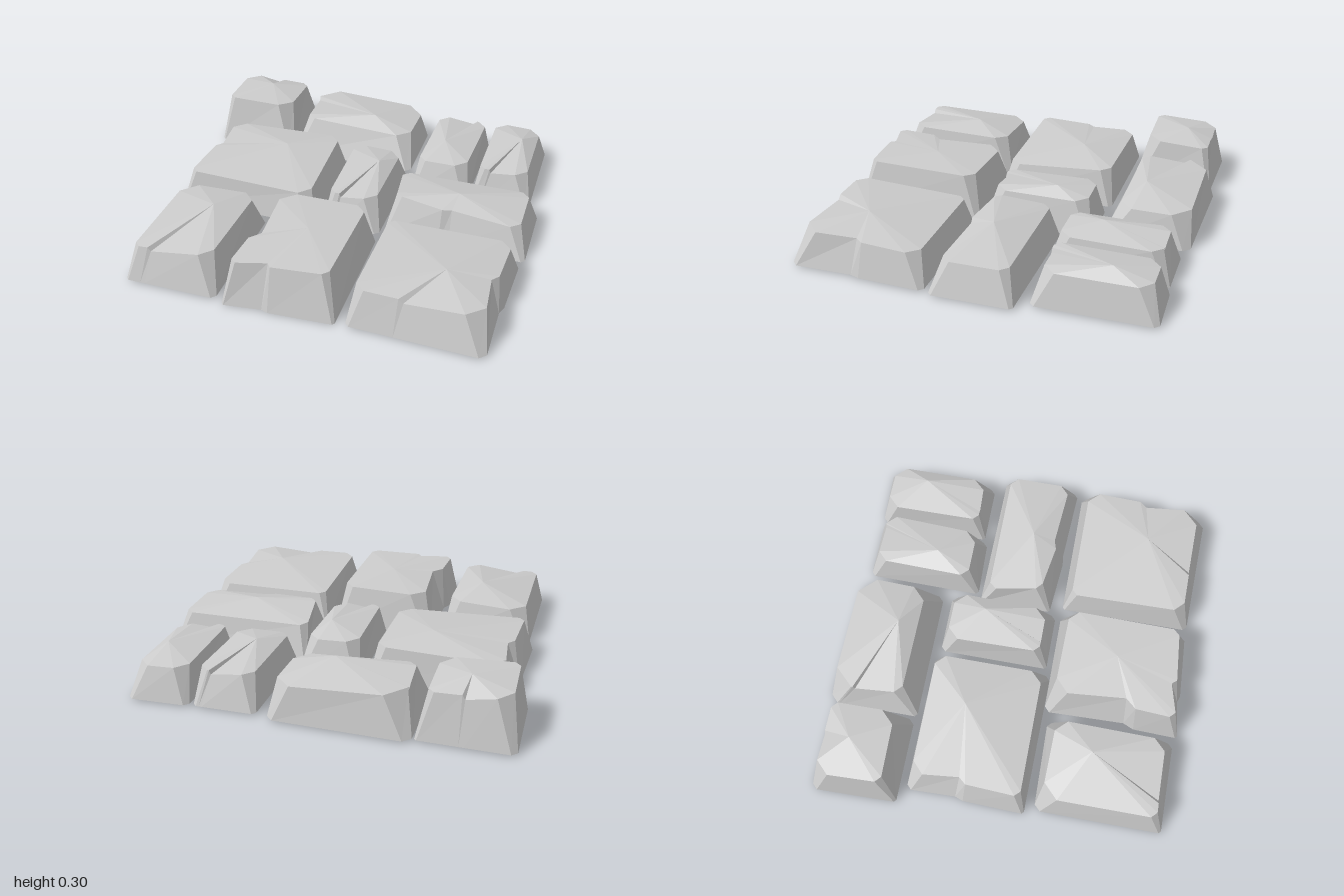
import * as THREE from 'three';

const material = new THREE.MeshStandardMaterial({ color: 0xcccccc, flatShading: true });

// Corner order everywhere: back left-hand, front left-hand, front right-hand, back right-hand (as seen from above).
// Cut every corner of a quad, giving an outline of 8 points, two per corner.
function chamfer(corners, cuts) {
  const out = [];
  corners.forEach((c, i) => {
    for (const other of [corners[(i + 3) % 4], corners[(i + 1) % 4]]) {
      const flat = Math.hypot(other.x - c.x, other.z - c.z);
      out.push(c.clone().lerp(other, cuts[i] / flat));
    }
  });
  return out;
}

// One stone: base quad [x, z], top quad [x, z, y], corner cuts, crown [x, z, y],
// chips [edge, position along it, depth] and a crack [edge, position along it].
function stone(name, { base, top, cuts, crown, chips = [], crack, floor = 0.01 }) {
  const peak = new THREE.Vector3(crown[0], crown[2], crown[1]);
  const lower = chamfer(base.map(([x, z]) => new THREE.Vector3(x, floor, z)), cuts.map(c => c * 0.4));
  const upper = chamfer(top.map(([x, z, y]) => new THREE.Vector3(x, y, z)), cuts);
  const extra = [];
  const inward = (p, d) => {
    const dir = new THREE.Vector3(peak.x - p.x, 0, peak.z - p.z).normalize();
    return p.addScaledVector(dir, d);
  };
  const along = (ring, edge, t) => ring[edge * 2 + 1].clone().lerp(ring[(edge * 2 + 2) % 8], t);

  for (const [edge, t, depth] of chips) {
    extra.push({ edge, t, lo: inward(along(lower, edge, t), depth * 0.5), hi: inward(along(upper, edge, t), depth) });
    extra.push({ edge, t: t + 0.07, lo: along(lower, edge, t + 0.07), hi: along(upper, edge, t + 0.07) });
  }
  // A crack is a narrow step in the rim that closes at the crown
  if (crack) {
    const [edge, t] = crack;
    [[t, 0], [t + 0.05, 0.022]].forEach(([s, drop]) => {
      const hi = along(upper, edge, s);
      hi.y -= drop;
      extra.push({ edge, t: s, lo: along(lower, edge, s), hi });
    });
  }

  const ring = [];
  for (let i = 0; i < 8; i++) {
    ring.push({ lo: lower[i], hi: upper[i] });
    if (i % 2) ring.push(...extra.filter(e => e.edge === (i - 1) / 2).sort((a, b) => a.t - b.t));
  }

  const bottom = new THREE.Vector3(peak.x, floor, peak.z);
  const tris = [];
  ring.forEach((a, i) => {
    const b = ring[(i + 1) % ring.length];
    tris.push(a.lo, b.lo, b.hi, a.lo, b.hi, a.hi); // side
    tris.push(a.hi, b.hi, peak);                   // worn top
    tris.push(b.lo, a.lo, bottom);                 // underside
  });
  const geometry = new THREE.BufferGeometry().setFromPoints(tris);
  geometry.computeVertexNormals();
  const mesh = new THREE.Mesh(geometry, material);
  mesh.name = name;
  return mesh;
}

export function createModel() {
  const group = new THREE.Group();
  group.name = 'pavingStones';
  group.add(
    // Back row
    stone('tallCornerStone', {
      base: [[-1, -0.94], [-0.99, -0.48], [-0.53, -0.48], [-0.52, -0.93]],
      top: [[-0.96, -0.89, 0.26], [-0.95, -0.54, 0.28], [-0.57, -0.55, 0.27], [-0.57, -0.89, 0.25]],
      cuts: [0.07, 0.03, 0.07, 0.03], crown: [-0.75, -0.75, 0.297], crack: [3, 0.45],
    }),
    stone('wideBackStone', {
      base: [[-0.51, -0.96], [-0.51, -0.47], [0.21, -0.47], [0.21, -0.94]],
      top: [[-0.47, -0.92, 0.22], [-0.45, -0.55, 0.22], [0.17, -0.55, 0.19], [0.18, -0.92, 0.19]],
      cuts: [0.1, 0.04, 0.07, 0.09], crown: [-0.06, -0.65, 0.25], crack: [0, 0.03],
    }),
    stone('narrowBackStoneInner', {
      base: [[0.27, -0.91], [0.265, -0.28], [0.59, -0.29], [0.6, -0.91]],
      top: [[0.3, -0.86, 0.19], [0.29, -0.34, 0.19], [0.56, -0.34, 0.19], [0.58, -0.86, 0.19]],
      cuts: [0.05, 0.04, 0.06, 0.05], crown: [0.4, -0.53, 0.228], crack: [3, 0.05],
    }),
    stone('narrowBackStoneOuter', {
      base: [[0.62, -0.92], [0.61, -0.31], [0.94, -0.31], [0.94, -0.93]],
      top: [[0.64, -0.88, 0.19], [0.64, -0.35, 0.2], [0.9, -0.36, 0.18], [0.9, -0.88, 0.18]],
      cuts: [0.06, 0.03, 0.06, 0.06], crown: [0.82, -0.68, 0.228], crack: [1, 0.15],
    }),
    // Middle row
    stone('largeMiddleStone', {
      base: [[-0.91, -0.44], [-0.93, 0.2], [-0.15, 0.21], [-0.16, -0.44]],
      top: [[-0.85, -0.41, 0.19], [-0.88, 0.17, 0.2], [-0.19, 0.17, 0.18], [-0.2, -0.41, 0.21]],
      cuts: [0.06, 0.03, 0.06, 0.05], crown: [-0.45, -0.2, 0.24], chips: [[0, 0.4, 0.03]],
    }),
    stone('narrowMiddleStone', {
      base: [[-0.11, -0.42], [-0.11, 0.18], [0.21, 0.18], [0.22, -0.42]],
      top: [[-0.09, -0.38, 0.2], [-0.08, 0.13, 0.2], [0.17, 0.13, 0.19], [0.18, -0.38, 0.19]],
      cuts: [0.06, 0.03, 0.06, 0.06], crown: [0.1, -0.2, 0.232], crack: [1, 0.15],
    }),
    stone('longSideStone', {
      base: [[0.23, -0.26], [0.23, 0.14], [1, 0.18], [1, -0.25]],
      top: [[0.24, -0.21, 0.18], [0.28, 0.08, 0.22], [0.95, 0.13, 0.18], [0.95, -0.21, 0.18]],
      cuts: [0.04, 0.03, 0.05, 0.04], crown: [0.6, -0.02, 0.232], chips: [[1, 0.4, -0.02]],
    }),
    // Front row
    stone('smallFrontStone', {
      base: [[-0.9, 0.25], [-0.9, 0.93], [-0.41, 0.93], [-0.41, 0.24]],
      top: [[-0.86, 0.28, 0.19], [-0.86, 0.88, 0.2], [-0.45, 0.87, 0.22], [-0.44, 0.29, 0.21]],
      cuts: [0.08, 0.03, 0.06, 0.06], crown: [-0.59, 0.5, 0.255], crack: [1, 0.15],
    }),
    stone('tallFrontStone', {
      base: [[-0.35, 0.21], [-0.37, 0.95], [0.21, 0.92], [0.21, 0.21]], floor: 0,
      top: [[-0.29, 0.25, 0.23], [-0.33, 0.9, 0.24], [0.16, 0.86, 0.25], [0.17, 0.26, 0.24]],
      cuts: [0.07, 0.03, 0.03, 0.05], crown: [-0.05, 0.55, 0.26],
      chips: [[0, 0.6, 0.05], [1, 0.34, 0.03]],
    }),
    stone('largeFrontStone', {
      base: [[0.26, 0.21], [0.26, 0.92], [0.95, 0.94], [0.98, 0.21]],
      top: [[0.29, 0.25, 0.18], [0.29, 0.87, 0.21], [0.91, 0.88, 0.2], [0.94, 0.25, 0.18]],
      cuts: [0.03, 0.05, 0.08, 0.06], crown: [0.68, 0.62, 0.23],
      chips: [[2, 0.45, 0.03]], crack: [1, 0.35],
    }),
  );
  return group;
}
